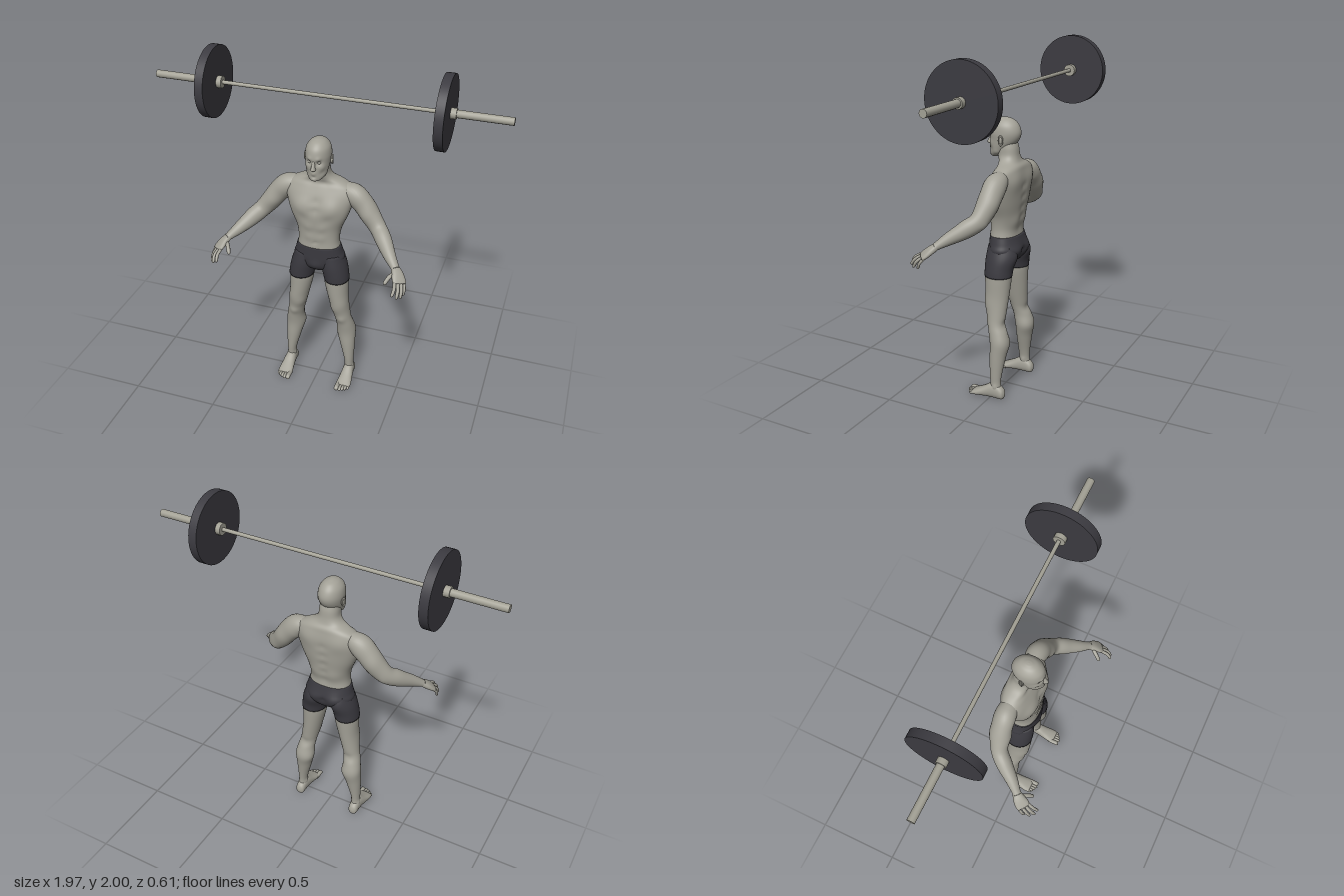
import * as THREE from 'three';

const mat = (name, color) => {
  const m = new THREE.MeshStandardMaterial({ color });
  m.name = name;
  return m;
};

// Smooth loft. rows: [x, y, z, widthRadius, depthRadius].
// axis fixes the ring normal, ref is the width direction, bumps are
// [x, y, z, reach, height] swellings pushed out from the ring centre.
function loft(rows, { s = 1, axis = null, ref = [1, 0, 0], bumps = [], power = 2, seg = 24, steps = 5 } = {}) {
  const path = new THREE.CatmullRomCurve3(rows.map(r => new THREE.Vector3(r[0] * s, r[1], r[2])), false, 'catmullrom');
  const size = new THREE.CatmullRomCurve3(rows.map(r => new THREE.Vector3(r[3], r[4], 0)), false, 'catmullrom');
  const n = (rows.length - 1) * steps;
  const width = new THREE.Vector3(ref[0] * s, ref[1], ref[2]);
  const pos = [], index = [];
  const root = v => Math.sign(v) * Math.pow(Math.abs(v), 2 / power);
  for (let i = 0; i <= n; i++) {
    const c = path.getPoint(i / n), r = size.getPoint(i / n);
    const t = axis ? new THREE.Vector3(...axis) : path.getTangent(i / n);
    const a = width.clone().addScaledVector(t, -width.dot(t)).normalize();
    const b = t.clone().cross(a);
    for (let j = 0; j < seg; j++) {
      const th = j / seg * Math.PI * 2;
      const d = a.clone().multiplyScalar(root(Math.cos(th)) * r.x).addScaledVector(b, root(Math.sin(th)) * r.y);
      const p = c.clone().add(d), out = d.clone().normalize();
      let push = 0;
      for (const [x, y, z, reach, h] of bumps) {
        const q = (p.x - x * s) ** 2 + (p.y - y) ** 2 + (p.z - z) ** 2;
        push += h * Math.exp(-q / (reach * reach));
      }
      p.addScaledVector(out, push);
      pos.push(p.x, Math.max(0, p.y), p.z);
    }
  }
  for (let i = 0; i < n; i++) for (let j = 0; j < seg; j++) {
    const k = (j + 1) % seg, A = i * seg + j, B = i * seg + k, C = B + seg, D = A + seg;
    index.push(A, B, C, A, C, D);
  }
  // closed ends
  const first = path.getPoint(0), last = path.getPoint(1), e = pos.length / 3;
  pos.push(first.x, Math.max(0, first.y), first.z, last.x, Math.max(0, last.y), last.z);
  for (let j = 0; j < seg; j++) {
    const k = (j + 1) % seg;
    index.push(e, k, j, e + 1, n * seg + j, n * seg + k);
  }
  const g = new THREE.BufferGeometry();
  g.setAttribute('position', new THREE.Float32BufferAttribute(pos, 3));
  g.setIndex(index);
  g.computeVertexNormals();
  return g;
}

const pair = list => list.flatMap(([x, ...r]) => [[x, ...r], [-x, ...r]]);

export function createModel() {
  const model = new THREE.Group();
  const skin = mat('skin grey', 0xa3a197);
  const steel = mat('bar steel', 0xa3a195);
  const cloth = mat('shorts charcoal', 0x3a393f);
  const iron = mat('plate charcoal', 0x3c3b41);
  const Y = [0, 1, 0], Z = [0, 0, 1];
  const add = (parent, name, geo, m) => {
    const mesh = new THREE.Mesh(geo, m);
    mesh.name = name;
    parent.add(mesh);
    return mesh;
  };
  const group = (name) => {
    const g = new THREE.Group();
    g.name = name;
    model.add(g);
    return g;
  };

  // torso and neck
  add(model, 'torso', loft([
    [0, 0.94, -0.008, 0.124, 0.081], [0, 1.0, -0.007, 0.118, 0.077], [0, 1.07, -0.013, 0.130, 0.085],
    [0, 1.15, -0.015, 0.163, 0.095], [0, 1.22, -0.022, 0.186, 0.092], [0, 1.28, -0.03, 0.2, 0.082],
    [0, 1.325, -0.037, 0.18, 0.07], [0, 1.352, -0.04, 0.135, 0.062], [0, 1.375, -0.03, 0.085, 0.057],
    [0, 1.405, -0.02, 0.061, 0.058], [0, 1.45, -0.012, 0.056, 0.06], [0, 1.49, -0.005, 0.05, 0.055],
  ], {
    axis: Y, power: 2.3, seg: 56, steps: 6, bumps: [
      ...pair([
        [0.08, 1.22, 0.07, 0.055, 0.018],    // chest
        [0.085, 1.28, -0.11, 0.055, 0.012],  // shoulder blade
        [0.05, 1.03, -0.09, 0.045, 0.008],   // lower back
        [0.035, 1.09, 0.075, 0.026, 0.006], [0.033, 1.025, 0.07, 0.026, 0.005], // abdomen
        [0.07, 1.145, 0.08, 0.03, -0.006],   // under the chest
        [0.04, 1.345, 0.01, 0.025, -0.006],  // above the collar bone
      ]),
      ...[1.0, 1.06, 1.12, 1.18, 1.24].map(y => [0, y, -0.105, 0.022, -0.007]), // spine
      [0, 1.25, 0.07, 0.022, -0.008], [0, 1.2, 0.08, 0.02, -0.008],             // breastbone
      [0, 0.99, 0.07, 0.01, -0.006],                                          // navel
    ],
  }), skin);

  // head
  const head = group('head');
  add(head, 'skull', loft([
    [0, 1.39, 0.066, 0.016, 0.014], [0, 1.398, 0.058, 0.034, 0.03], [0, 1.42, 0.04, 0.051, 0.05],
    [0, 1.45, 0.024, 0.061, 0.068], [0, 1.49, 0.008, 0.067, 0.085], [0, 1.53, 0.003, 0.070, 0.091],
    [0, 1.57, 0.004, 0.063, 0.08], [0, 1.598, 0.004, 0.042, 0.054], [0, 1.61, 0.004, 0.018, 0.024],
    [0, 1.613, 0.004, 0.003, 0.004],
  ], {
    axis: Y, seg: 64, steps: 8, bumps: [
      ...pair([
        [0.027, 1.502, 0.085, 0.015, -0.011], // eye socket
        [0.026, 1.523, 0.09, 0.014, 0.005],   // brow
        [0.043, 1.475, 0.07, 0.018, 0.004],   // cheek bone
        [0.04, 1.44, 0.07, 0.018, -0.004],    // cheek hollow
        [0.048, 1.42, 0.03, 0.02, 0.004],     // jaw
      ]),
      [0, 1.443, 0.092, 0.011, 0.005], [0, 1.43, 0.09, 0.011, 0.004], // lips
      [0, 1.42, 0.09, 0.009, -0.004], [0, 1.403, 0.088, 0.014, 0.006], // chin
    ],
  }), skin);
  add(head, 'nose', loft([
    [0, 1.52, 0.086, 0.005, 0.005], [0, 1.5, 0.09, 0.008, 0.01], [0, 1.478, 0.097, 0.011, 0.014],
    [0, 1.465, 0.098, 0.015, 0.016], [0, 1.457, 0.092, 0.009, 0.008],
  ], { axis: [0, -1, 0], seg: 16 }), skin);
  for (const s of [1, -1]) {
    const eye = add(head, 'eye', new THREE.SphereGeometry(0.01, 16, 10), skin);
    eye.position.set(0.027 * s, 1.502, 0.073);
    const ear = add(head, 'ear', new THREE.SphereGeometry(1, 16, 12), skin);
    ear.scale.set(0.008, 0.026, 0.014);
    ear.position.set(0.071 * s, 1.493, -0.004);
    ear.rotation.set(-0.15, 0.35 * s, 0);
    const rim = add(head, 'earRim', new THREE.TorusGeometry(0.016, 0.004, 8, 20), skin);
    rim.scale.set(0.75, 1.5, 1);
    rim.position.set(0.076 * s, 1.494, -0.006);
    rim.rotation.y = (Math.PI / 2 + 0.35) * s;
  }

  // shorts: seat here, legs in the loop below
  add(model, 'shortsSeat', loft([
    [0, 0.777, -0.01, 0.012, 0.02], [0, 0.79, -0.01, 0.045, 0.05], [0, 0.82, -0.013, 0.11, 0.078],
    [0, 0.87, -0.016, 0.148, 0.09], [0, 0.91, -0.013, 0.138, 0.089], [0, 0.955, -0.008, 0.126, 0.084],
  ], {
    axis: Y, power: 2.2, seg: 48, bumps: [
      ...pair([[0.06, 0.865, -0.11, 0.05, 0.017]]),
      [0, 0.865, -0.12, 0.02, -0.02], [0, 0.84, 0.07, 0.03, 0.01],
    ],
  }), cloth);

  for (const s of [1, -1]) {
    const side = s > 0 ? 'left' : 'right';

    // legs
    const leg = group(side + 'Leg');
    add(leg, 'shortsLeg', loft([
      [0.107, 0.728, -0.008, 0.073, 0.08], [0.1, 0.77, -0.009, 0.075, 0.083],
      [0.087, 0.83, -0.014, 0.075, 0.088], [0.075, 0.9, -0.012, 0.062, 0.078],
    ], { s, axis: Y, seg: 32, bumps: [[0.075, 0.855, -0.11, 0.045, 0.012]] }), cloth);
    add(leg, 'bareLeg', loft([
      [0.188, 0.035, -0.035, 0.027, 0.036], [0.187, 0.09, -0.03, 0.025, 0.031], [0.183, 0.15, -0.03, 0.031, 0.036],
      [0.171, 0.25, -0.036, 0.046, 0.047], [0.161, 0.33, -0.042, 0.055, 0.055], [0.156, 0.4, -0.03, 0.051, 0.054],
      [0.147, 0.45, -0.016, 0.049, 0.05], [0.137, 0.5, -0.011, 0.051, 0.056], [0.119, 0.6, -0.006, 0.058, 0.069],
      [0.107, 0.7, -0.007, 0.069, 0.076], [0.104, 0.75, -0.008, 0.071, 0.077],
    ], {
      s, axis: Y, seg: 36, bumps: [
        [0.147, 0.455, 0.035, 0.025, 0.007],                                         // kneecap
        [0.125, 0.34, -0.07, 0.04, 0.007], [0.195, 0.355, -0.07, 0.04, 0.005],       // calf
        [0.105, 0.535, 0.04, 0.035, 0.007], [0.155, 0.57, 0.04, 0.045, 0.005],       // thigh
        [0.147, 0.45, -0.066, 0.025, -0.005],                                        // back of knee
        [0.162, 0.085, -0.03, 0.014, 0.006], [0.213, 0.075, -0.035, 0.014, 0.006],   // ankle bones
      ],
    }), skin);
    add(leg, 'foot', loft([
      [0.188, 0.03, -0.088, 0.008, 0.01], [0.188, 0.033, -0.076, 0.026, 0.032], [0.188, 0.045, -0.04, 0.03, 0.046],
      [0.188, 0.045, -0.005, 0.033, 0.045], [0.189, 0.03, 0.045, 0.039, 0.03], [0.189, 0.019, 0.085, 0.044, 0.02],
      [0.189, 0.014, 0.112, 0.041, 0.012],
    ], { s, axis: Z, power: 2.2, seg: 28 }), skin);
    const toeTips = [0.15, 0.152, 0.145, 0.136, 0.124];
    toeTips.forEach((z, i) => {
      const x = [0.157, 0.178, 0.194, 0.209, 0.222][i], r = i ? 0.0085 : 0.0135;
      add(leg, 'toe', loft([
        [x, 0.014, 0.085, r, r], [x, 0.015, z - 0.02, r, r], [x, 0.011, z - 0.006, r, r * 0.85],
        [x, 0.009, z, r * 0.3, r * 0.3],
      ], { s, axis: Z, seg: 12, steps: 4 }), skin);
    });

    // arms
    const arm = group(side + 'Arm');
    const ref = [-0.7, 0.1, 0.7];
    add(arm, 'arm', loft([
      [0.12, 1.305, -0.04, 0.035, 0.035], [0.155, 1.296, -0.04, 0.053, 0.052], [0.2, 1.274, -0.04, 0.06, 0.065],
      [0.245, 1.229, -0.038, 0.057, 0.063], [0.293, 1.165, -0.03, 0.052, 0.058], [0.343, 1.107, -0.008, 0.046, 0.05],
      [0.39, 1.067, 0.045, 0.044, 0.047], [0.44, 1.026, 0.11, 0.034, 0.035], [0.478, 0.996, 0.153, 0.025, 0.023],
      [0.49, 0.986, 0.167, 0.025, 0.02],
    ], {
      s, ref, seg: 28, bumps: [
        [0.27, 1.18, 0.02, 0.04, 0.008], [0.29, 1.2, -0.08, 0.045, 0.006], // upper arm front and back
        [0.375, 1.1, 0.035, 0.035, 0.006], [0.345, 1.09, -0.06, 0.02, 0.005], // forearm, elbow
      ],
    }), skin);
    add(arm, 'palm', loft([
      [0.482, 0.993, 0.157, 0.022, 0.018], [0.505, 0.97, 0.185, 0.034, 0.018], [0.522, 0.947, 0.212, 0.04, 0.014],
      [0.53, 0.936, 0.226, 0.036, 0.01],
    ], { s, ref, power: 2.4, seg: 20 }), skin);
    const digit = (name, a, b, c, r) => add(arm, name, loft([
      [...a, r, r], [...b, r, r], [...b.map((v, i) => v * 0.2 + c[i] * 0.8), r * 0.85, r * 0.85], [...c, r * 0.3, r * 0.3],
    ], { s, ref, seg: 10, steps: 4 }), skin);
    digit('indexFinger', [0.503, 0.947, 0.232], [0.51, 0.927, 0.27], [0.506, 0.897, 0.3], 0.0095);
    digit('middleFinger', [0.518, 0.944, 0.224], [0.53, 0.918, 0.264], [0.53, 0.883, 0.293], 0.0098);
    digit('ringFinger', [0.533, 0.94, 0.212], [0.546, 0.911, 0.247], [0.546, 0.874, 0.27], 0.0092);
    digit('littleFinger', [0.546, 0.936, 0.198], [0.556, 0.908, 0.222], [0.553, 0.873, 0.238], 0.008);
    digit('thumb', [0.492, 0.976, 0.18], [0.466, 0.958, 0.218], [0.449, 0.93, 0.248], 0.0115);
  }

  // barbell
  const barbell = group('barbell');
  barbell.position.set(0, 1.8, -0.11);
  const rod = (name, x0, x1, r, m, seg) => {
    const mesh = add(barbell, name, new THREE.CylinderGeometry(r, r, Math.abs(x1 - x0), seg), m);
    mesh.rotation.z = Math.PI / 2;
    mesh.position.x = (x0 + x1) / 2;
  };
  rod('grip', -0.6, 0.6, 0.011, steel, 16);
  for (const s of [1, -1]) {
    rod('plate', 0.618 * s, 0.666 * s, 0.2, iron, 64);
    rod('innerCollar', 0.59 * s, 0.618 * s, 0.034, steel, 12);
    rod('outerCollar', 0.666 * s, 0.697 * s, 0.029, steel, 12);
    rod('sleeve', 0.697 * s, 0.986 * s, 0.021, steel, 16);
  }
  return model;
}
